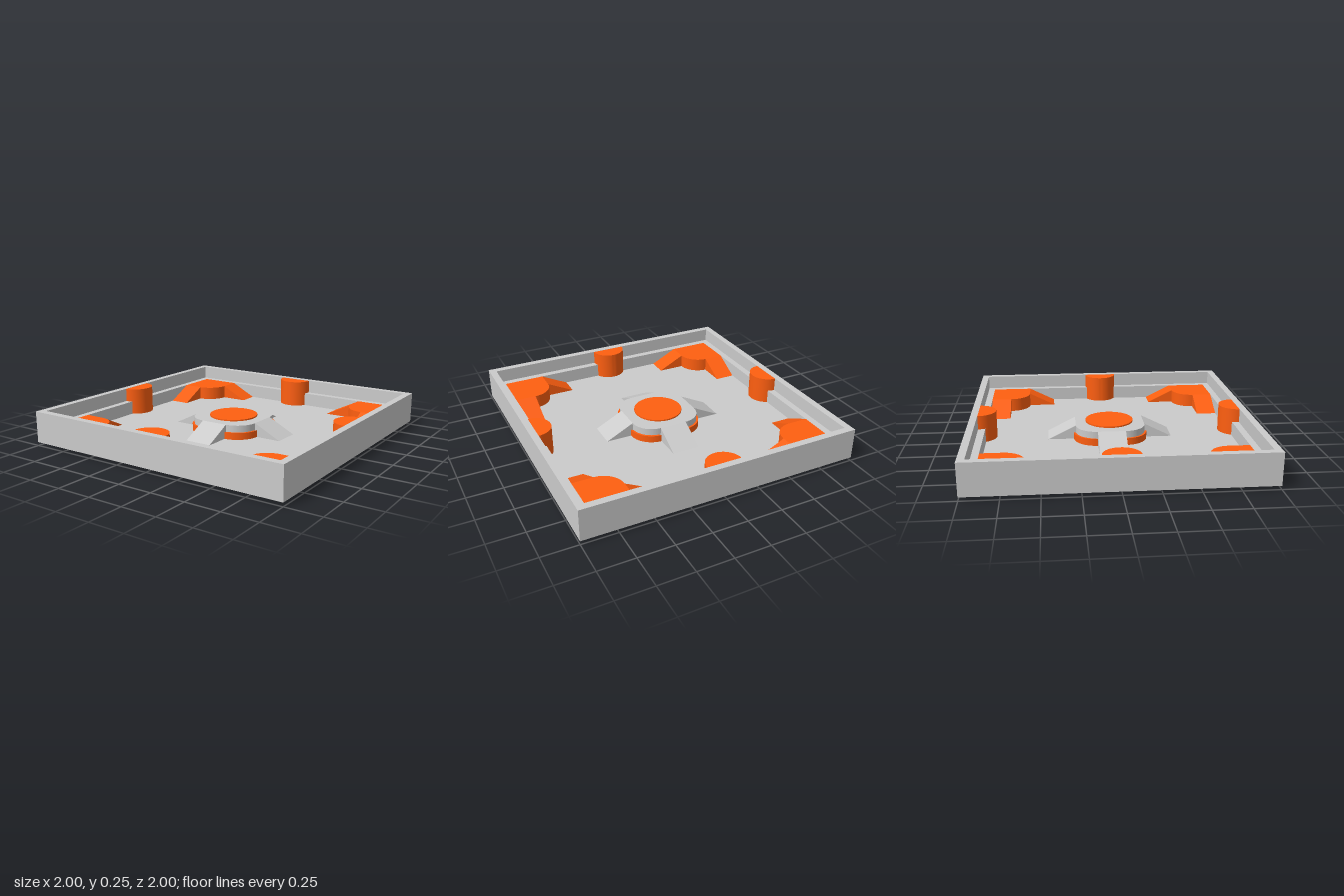
import * as THREE from 'three';
import { toCreasedNormals } from 'three/addons/utils/BufferGeometryUtils.js';

const FLOOR = 0.05, DECK = 0.15, RIM = 0.25;
const grey = new THREE.MeshStandardMaterial({ color: 0xcccccc });
const orange = new THREE.MeshStandardMaterial({ color: 0xff5f10 });

function add(parent, name, geometry, material) {
  const mesh = new THREE.Mesh(geometry, material);
  mesh.name = name;
  parent.add(mesh);
  return mesh;
}

// Plan shape (x, -z) raised from y0 to y1
function raise(shape, y0, y1) {
  const g = new THREE.ExtrudeGeometry(shape, { depth: y1 - y0, bevelEnabled: false, curveSegments: 20 });
  g.rotateX(-Math.PI / 2).translate(0, y0, 0);
  return toCreasedNormals(g, 0.6);
}

// Wedge sloping from the deck at xHigh down to the floor at xLow
function ramp(xHigh, xLow, z0, z1) {
  const s = new THREE.Shape([
    new THREE.Vector2(xHigh, FLOOR), new THREE.Vector2(xHigh, DECK), new THREE.Vector2(xLow, FLOOR),
  ]);
  const g = new THREE.ExtrudeGeometry(s, { depth: z1 - z0, bevelEnabled: false });
  return g.translate(0, 0, z0);
}

// Square tray with a stepped wall: a four-sided lathe of the wall section
function trayGeometry() {
  const section = [
    [0, 0.025], [1, 0.025], [1, RIM], [0.95, RIM], [0.95, DECK], [0.9, DECK], [0.9, FLOOR], [0, FLOOR],
  ].map(([r, y]) => new THREE.Vector2(r * Math.SQRT2, y));
  const g = new THREE.LatheGeometry(section, 4, Math.PI / 4).toNonIndexed();
  g.computeVertexNormals();
  return g;
}

// Square with rounded corners
function hubShape(half, r) {
  const s = new THREE.Shape(), c = half - r;
  for (let i = 0; i < 4; i++) {
    const a = i * Math.PI / 2;
    const sx = i === 0 || i === 3 ? 1 : -1, sy = i < 2 ? 1 : -1;
    s.absarc(sx * c, sy * c, r, a, a + Math.PI / 2, false);
  }
  s.closePath();
  return s;
}

export function createModel() {
  const model = new THREE.Group();
  model.name = 'arenaTray';
  add(model, 'tray', trayGeometry(), grey);

  // Central hub with its round cap
  add(model, 'hub', raise(hubShape(0.25, 0.15), FLOOR, DECK), grey);
  const cap = add(model, 'hubCap', new THREE.CylinderGeometry(0.175, 0.175, 0.02, 48), orange);
  cap.position.y = DECK;

  // Plan shapes shared by the four sides
  const cornerShape = new THREE.Shape();
  cornerShape.moveTo(0.9, 0.9);
  cornerShape.lineTo(0.6, 0.9);
  cornerShape.lineTo(0.6, 0.75);
  cornerShape.absarc(0.75, 0.75, 0.15, Math.PI, Math.PI * 1.5, false);
  cornerShape.lineTo(0.9, 0.6);
  cornerShape.closePath();

  const footShape = new THREE.Shape();
  footShape.moveTo(0.1, 0.1);
  footShape.absarc(0.1, 0.1, 0.165, 0, Math.PI / 2, false);
  footShape.closePath();

  const postShape = new THREE.Shape();
  postShape.absarc(0.95, 0, 0.125, Math.PI / 2, Math.PI * 1.5, false);
  postShape.closePath();

  const corner = raise(cornerShape, FLOOR, DECK);
  const foot = raise(footShape, 0, 0.1);
  const post = raise(postShape, FLOOR, RIM - 0.001);
  const hubRamp = ramp(0.25, 0.45, -0.1, 0.1);
  const rampA = ramp(0.6, 0.4, -0.9, -0.75);
  const rampB = ramp(0.6, 0.4, 0.75, 0.9).rotateY(Math.PI / 2);
  rampB.rotateY(0);

  // One set of fittings per quarter turn
  for (let i = 0; i < 4; i++) {
    const side = new THREE.Group();
    side.name = 'quarter' + (i + 1);
    side.rotation.y = i * Math.PI / 2;
    add(side, 'cornerPlatform', corner, orange);
    add(side, 'cornerRampA', rampA, orange);
    add(side, 'cornerRampB', rampB, orange);
    add(side, 'wallPost', post, orange);
    add(side, 'hubFoot', foot, orange);
    add(side, 'hubRamp', hubRamp, grey);
    model.add(side);
  }
  return model;
}
